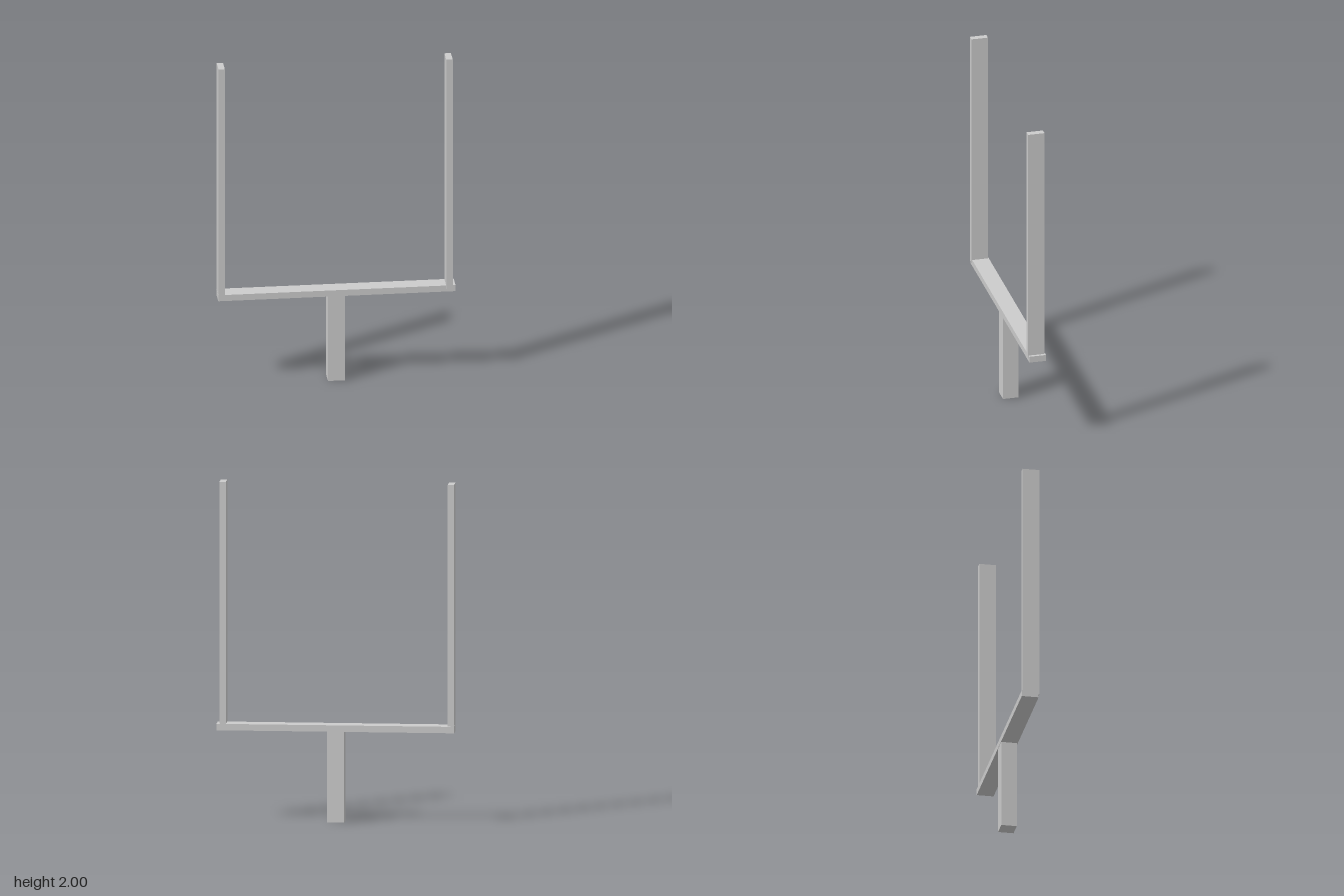
import * as THREE from 'three';

export function createModel() {
  const group = new THREE.Group();
  const material = new THREE.MeshStandardMaterial({ color: 0xcccccc, flatShading: true });

  // Box given by its extents along each axis
  function addBeam(name, [x0, x1], [y0, y1], [z0, z1]) {
    const mesh = new THREE.Mesh(new THREE.BoxGeometry(x1 - x0, y1 - y0, z1 - z0), material);
    mesh.position.set((x0 + x1) / 2, (y0 + y1) / 2, (z0 + z1) / 2);
    mesh.name = name;
    group.add(mesh);
  }

  // Central support and the crossbar it carries
  addBeam('basePost', [-0.052, 0.048], [0, 0.55], [-0.05, 0.042]);
  addBeam('crossbar', [-0.697, 0.697], [0.535, 0.573], [-0.052, 0.048]);

  // Uprights, set slightly forward and sunk into the crossbar
  addBeam('rightUpright', [-0.696, -0.659], [0.553, 2], [-0.047, 0.052]);
  addBeam('leftUpright', [0.642, 0.68], [0.553, 2], [-0.047, 0.052]);

  return group;
}
